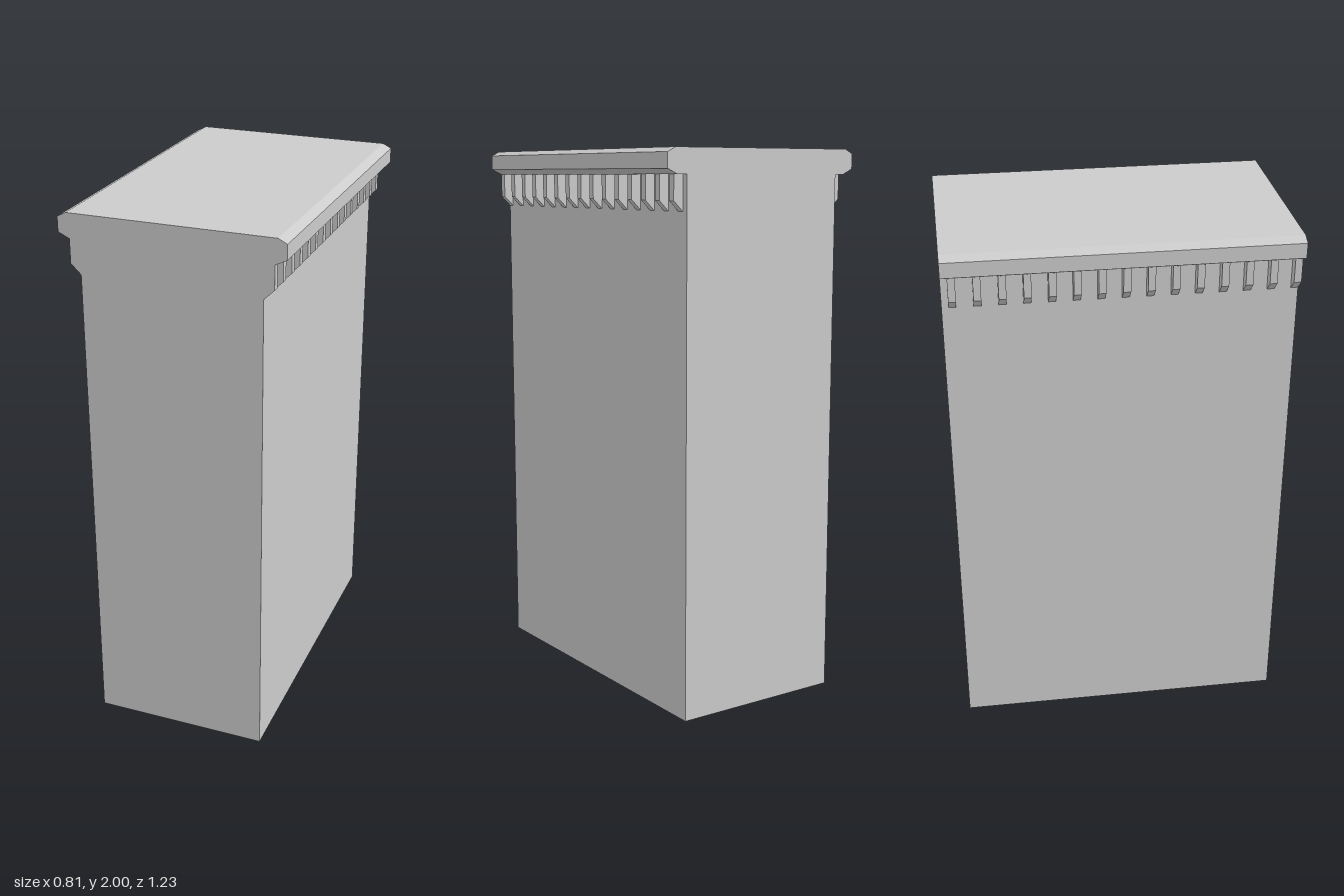
import * as THREE from 'three';

const DEPTH = 1.23;
const material = new THREE.MeshStandardMaterial({ color: 0xcccccc, flatShading: true });

// Extrudes an x/y outline along z, from z0 to z0 + depth
function extrude(points, z0, depth) {
  const shape = new THREE.Shape(points.map(([x, y]) => new THREE.Vector2(x, y)));
  const geometry = new THREE.ExtrudeGeometry(shape, { depth, bevelEnabled: false });
  geometry.translate(0, 0, z0);
  return geometry;
}

export function createModel() {
  const group = new THREE.Group();

  // Wall block and chamfered cornice share one continuous cross-section
  const half = [[0.326, 0], [0.326, 1.911], [0.364, 1.911], [0.404, 1.93], [0.404, 1.984], [0.372, 2]];
  const outline = [...half, ...half.map(([x, y]) => [-x, y]).reverse()];
  const building = new THREE.Mesh(extrude(outline, -DEPTH / 2, DEPTH), material);
  building.name = 'wallAndCornice';
  group.add(building);

  // Rows of small corbels under both eaves, starting flush with the front
  const count = 15, width = 0.026, pitch = 0.0843;
  for (const side of [1, -1]) {
    const row = new THREE.Group();
    row.name = side > 0 ? 'leftCorbels' : 'rightCorbels';
    const profile = [[0.326, 1.788], [0.363, 1.824], [0.363, 1.911], [0.326, 1.911]];
    const geometry = extrude(profile.map(([x, y]) => [side * x, y]), -width, width);
    for (let i = 0; i < count; i++) {
      const corbel = new THREE.Mesh(geometry, material);
      corbel.name = 'corbel';
      corbel.position.z = DEPTH / 2 - i * pitch;
      row.add(corbel);
    }
    group.add(row);
  }
  return group;
}
